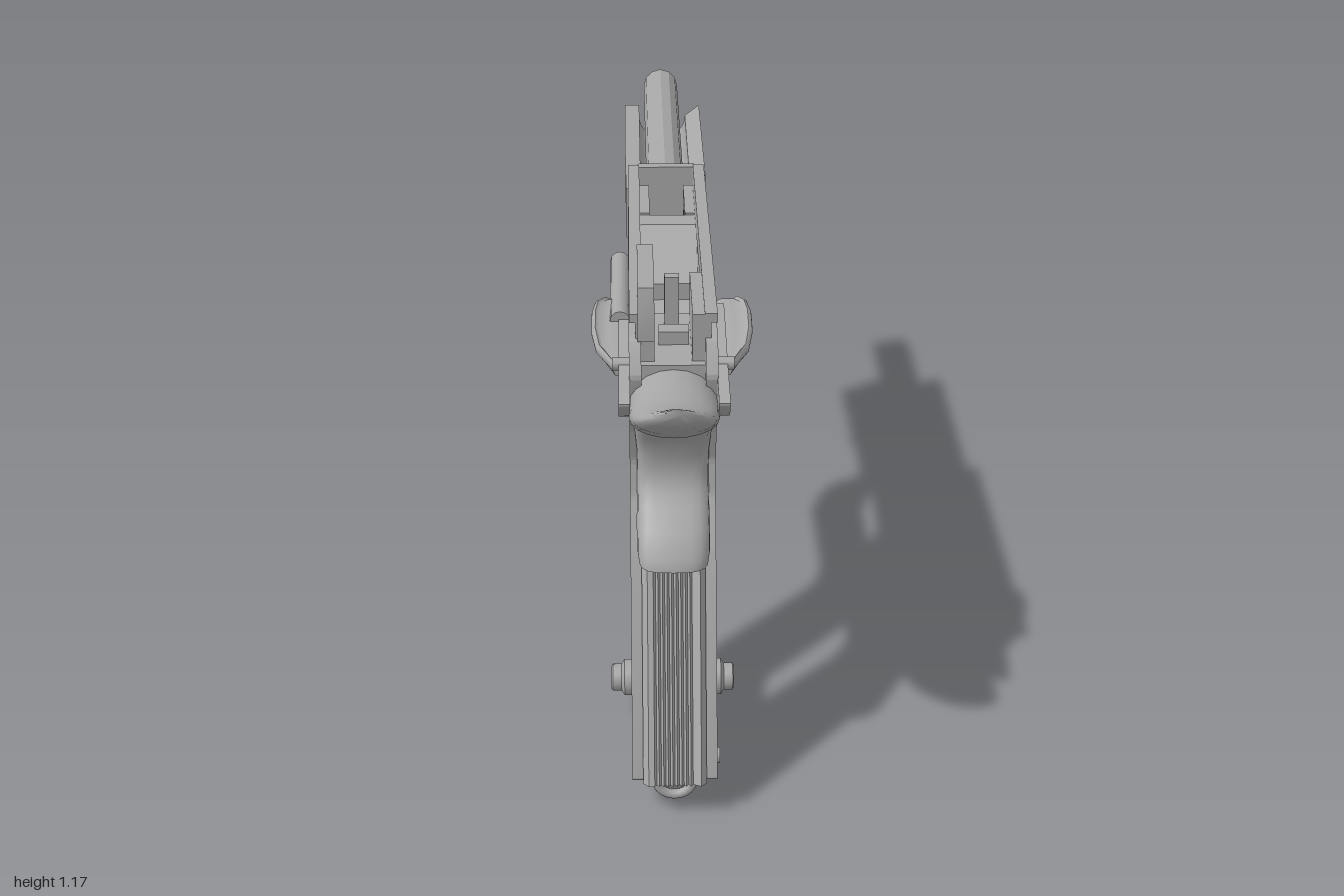
import * as THREE from 'three';
import { toCreasedNormals } from 'three/addons/utils/BufferGeometryUtils.js';

const metal = new THREE.MeshStandardMaterial({ color: 0xa6a6a6, side: THREE.DoubleSide });
metal.name = 'grey metal';

// closed path with rounded corners, r = corner radius
function rounded(pts, r, Kind = THREE.Shape) {
  const path = new Kind();
  const v = pts.map(p => new THREE.Vector2(p[0], p[1]));
  v.forEach((p, i) => {
    const a = v[(i + v.length - 1) % v.length], b = v[(i + 1) % v.length];
    const s = p.clone().add(a.clone().sub(p).setLength(Math.min(r, a.distanceTo(p) * 0.48)));
    const e = p.clone().add(b.clone().sub(p).setLength(Math.min(r, b.distanceTo(p) * 0.48)));
    if (i === 0) path.moveTo(s.x, s.y); else path.lineTo(s.x, s.y);
    if (r > 0) path.quadraticCurveTo(p.x, p.y, e.x, e.y);
  });
  path.closePath();
  return path;
}

function circle(z, y, r) {
  const p = new THREE.Path();
  p.absarc(z, y, r, 0, Math.PI * 2, true);
  return p;
}

// signed power, squares off an ellipse
const squared = (v, k) => Math.sign(v) * Math.abs(v) ** k;

export function createModel() {
  const model = new THREE.Group();
  model.name = 'pistolFrame';

  const add = (name, geo) => {
    const m = new THREE.Mesh(geo, metal);
    m.name = name;
    model.add(m);
    return m;
  };
  const box = (name, x0, x1, y0, y1, z0, z1) => add(name,
    new THREE.BoxGeometry(x1 - x0, y1 - y0, z1 - z0).translate((x0 + x1) / 2, (y0 + y1) / 2, (z0 + z1) / 2));
  // side profile in (z, y), extruded from x0 to x1
  const side = (name, pts, x0, x1, r = 0, holes = []) => {
    const shape = rounded(pts, r);
    shape.holes.push(...holes);
    const g = new THREE.ExtrudeGeometry(shape, { depth: x1 - x0, bevelEnabled: false, curveSegments: 6 });
    return add(name, toCreasedNormals(g.rotateY(-Math.PI / 2).translate(x1, 0, 0), 0.5));
  };
  // section in (x, -z), extruded along a slanted line from (z0, y0) to (z1, y1), ends tilted like the grip base
  const slanted = (name, shape, z0, y0, z1, y1) => {
    const g = new THREE.ExtrudeGeometry(shape, { depth: 1, bevelEnabled: false, curveSegments: 10 });
    g.applyMatrix4(new THREE.Matrix4().set(1, 0, 0, 0, 0, -0.13, y1 - y0, y0, 0, -1, z1 - z0, z0, 0, 0, 0, 1));
    return add(name, toCreasedNormals(g, 0.5));
  };
  // rings joined into a closed skin, point(ring, angle) gives each corner
  const loft = (name, rings, point, n = 20) => {
    const pos = [], idx = [];
    for (const ring of rings) for (let j = 0; j < n; j++) pos.push(...point(ring, j / n * Math.PI * 2));
    for (let i = 0; i < rings.length - 1; i++) for (let j = 0; j < n; j++) {
      const a = i * n + j, b = i * n + (j + 1) % n;
      idx.push(a, b, b + n, a, b + n, a + n);
    }
    const last = (rings.length - 1) * n;
    for (let j = 1; j < n - 1; j++) idx.push(0, j + 1, j, last, last + j, last + j + 1);
    const g = new THREE.BufferGeometry();
    g.setAttribute('position', new THREE.Float32BufferAttribute(pos, 3));
    g.setIndex(idx);
    return add(name, toCreasedNormals(g, 0.9));
  };

  // side walls with grip window, pin hole and catch recess
  const wall = [[0.74, 1.057], [0.79, 0.985], [0.77, 0.91], [0.725, 0.83], [0.70, 0.74], [0.715, 0.66], [0.775, 0.55],
    [0.98, 0.085], [0.555, 0.02], [0.335, 0.64], [0.29, 0.665], [0.225, 0.69], [0.20, 0.75], [0.19, 0.88], [0.13, 0.93],
    [-0.10, 0.93], [-0.10, 1.057]];
  const gripWindow = [[0.635, 0.74], [0.40, 0.74], [0.38, 0.64], [0.53, 0.18], [0.70, 0.18], [0.775, 0.29]];
  const recess = [[0.335, 0.77], [0.28, 0.78], [0.218, 0.755], [0.23, 0.715], [0.275, 0.69], [0.315, 0.70]];
  for (const s of [-1, 1]) {
    // box or plate limits mirrored to this side
    const span = (a, b) => s > 0 ? [a, b] : [-b, -a];
    side('sideWall', wall, ...span(0.068, 0.094), 0.012, [rounded(gripWindow, 0.08, THREE.Path),
      circle(-0.04, 1, 0.028), rounded(recess, 0.02, THREE.Path)]);
    // slide rails: groove and flange
    box('railGroove', ...span(0.066, 0.08), 1.05, 1.092, -0.13, 0.74);
    box('railFlange', ...span(0.066, 0.093), 1.09, 1.11, -0.13, 0.74);
    box('rearRail', ...span(0.04, 0.07), 0.98, 1.108, 0.52, 0.74);
    // inner cheek around the cross pin
    side('pinCheek', [[0.06, 0.93], [-0.12, 0.93], [-0.12, 1.06], [0.06, 1.06]], ...span(0.042, 0.07), 0, [circle(-0.04, 1, 0.028)]);

    // thumb safety: flat plate and rounded outward pad
    side('safetyPlate', [[0.51, 1.035], [0.60, 1.02], [0.72, 0.99], [0.88, 0.97], [0.84, 0.92], [0.74, 0.88], [0.66, 0.89],
      [0.58, 0.83], [0.53, 0.845], [0.54, 0.87], [0.60, 0.94], [0.60, 0.98]], ...span(0.092, 0.116), 0.02);
    loft('safetyPad', [[0.495, 0.15, 1.023], [0.51, 0.168, 1.022], [0.55, 0.175, 1.016], [0.61, 0.175, 1.002], [0.66, 0.165, 0.985], [0.71, 0.13, 0.97]],
      ([z, xo, y], t) => [s * (xo + 0.1) / 2 + (xo - 0.1) / 2 * squared(Math.cos(t), 0.5),
        y + 0.014 * squared(Math.sin(t), 0.7) + (s * Math.cos(t) > 0.5 ? 0.004 : -0.004), z]);

    // grip screw bushings
    for (const [z, y] of [[0.447, 0.875], [0.715, 0.18]]) {
      const prof = [[0, 0.075], [0.042, 0.075], [0.042, 0.11], [0.031, 0.117], [0.031, 0.137], [0.027, 0.14],
        [0.019, 0.14], [0.019, 0.115], [0, 0.115]].map(p => new THREE.Vector2(...p));
      const g = toCreasedNormals(new THREE.LatheGeometry(prof, 16), 0.5);
      add('gripBushing', g.rotateZ(-s * Math.PI / 2).translate(0, y, z));
    }
    box('coverRootWall', ...span(0.066, 0.098), 0.93, 1.06, -0.2, -0.1);
  }

  // trigger guard, with the narrow frame underside behind it
  const opening = [[0.15, 0.90], [0.175, 0.82], [0.165, 0.665], [-0.09, 0.665], [-0.175, 0.73], [-0.175, 0.85], [-0.12, 0.905]];
  side('triggerGuard', [[0.345, 0.62], [0.26, 0.645], [-0.10, 0.645], [-0.19, 0.72], [-0.19, 0.868], [-0.32, 0.87],
    [-0.32, 0.95], [0.17, 0.95], [0.30, 0.90], [0.36, 0.68]], -0.062, 0.062, 0.045, [rounded(opening, 0.06, THREE.Path)]);
  side('underside', [[0.20, 0.90], [-0.17, 0.905], [-0.17, 0.95], [0.20, 0.95]], -0.078, 0.078);
  side('trigger', [[0.19, 0.88], [0.14, 0.865], [0.148, 0.81], [0.132, 0.755], [0.165, 0.755], [0.19, 0.81]], -0.03, 0.03, 0.015);
  // feed ramp and bridge ahead of the magazine well
  side('feedRamp', [[0.06, 0.93], [0.06, 1.055], [0.12, 1.055], [0.25, 0.96], [0.25, 0.90]], -0.07, 0.07);

  // rounded front strap of the grip
  const strap = new THREE.Shape();
  strap.moveTo(0.094, -0.045);
  strap.lineTo(0.094, -0.01);
  strap.bezierCurveTo(0.094, 0.035, 0.05, 0.07, 0, 0.07);
  strap.bezierCurveTo(-0.05, 0.07, -0.094, 0.035, -0.094, -0.01);
  strap.lineTo(-0.094, -0.045);
  strap.lineTo(-0.07, -0.045);
  strap.lineTo(-0.07, -0.01);
  strap.quadraticCurveTo(-0.06, 0.045, 0, 0.045);
  strap.quadraticCurveTo(0.06, 0.045, 0.07, -0.01);
  strap.lineTo(0.07, -0.045);
  strap.closePath();
  slanted('frontStrap', strap, 0.565, 0.0092, 0.325, 0.65);
  // strap fades into the guard
  loft('strapShoulder', [[0.635, 0.257, 0.38, 0.09], [0.665, 0.235, 0.37, 0.086], [0.69, 0.215, 0.36, 0.072], [0.75, 0.205, 0.35, 0.066], [0.88, 0.185, 0.32, 0.066]],
    ([y, zf, zb, rx], t) => [rx * squared(Math.cos(t), 0.6), y, (zf + zb) / 2 - (zb - zf) / 2 * Math.sin(t)]);

  // ribbed mainspring housing
  const ribs = [[-0.07, 0.1], [-0.07, 0.015], [-0.058, 0]];
  for (let i = 0; i < 9; i++) {
    const x = -0.045 + i * 0.01;
    ribs.push([x, 0], [x + 0.005, 0.009]);
  }
  ribs.push([0.058, 0], [0.07, 0.015], [0.07, 0.1]);
  slanted('mainspringHousing', rounded(ribs, 0), 1.0, 0.085, 0.797, 0.55);
  add('housingPin', new THREE.CylinderGeometry(0.018, 0.018, 0.06, 12).rotateZ(Math.PI / 2).translate(0.072, 0.095, 0.9));
  add('lanyardLoop', new THREE.TorusGeometry(0.042, 0.011, 8, 20).translate(0, 0.07, 0.95));
  // leaf spring strips inside the grip
  for (const x of [-0.04, 0, 0.04]) {
    slanted('leafSpring', rounded([[x - 0.013, 0], [x + 0.013, 0], [x + 0.013, 0.008], [x - 0.013, 0.008]], 0), 0.725, 0.48, 0.65, 0.75);
  }

  // grip safety and upswept tang
  loft('gripSafety', [[0.55, 0.74, 0.862, 0.076], [0.575, 0.73, 0.855, 0.08], [0.62, 0.70, 0.812, 0.08], [0.66, 0.68, 0.772, 0.079],
    [0.685, 0.67, 0.748, 0.079], [0.72, 0.66, 0.732, 0.079], [0.77, 0.655, 0.735, 0.08], [0.82, 0.66, 0.757, 0.084], [0.87, 0.66, 0.81, 0.088], [0.93, 0.66, 0.84, 0.088]],
  ([y, zf, zb, rx], t) => [rx * squared(Math.cos(t), 0.6), y, (zf + zb) / 2 - (zb - zf) / 2 * squared(Math.sin(t), 0.7)]);
  loft('tang', [[0.68, 0.82, 0.99, 0.088], [0.76, 0.835, 0.99, 0.095], [0.82, 0.86, 0.983, 0.096], [0.87, 0.885, 0.978, 0.094],
    [0.92, 0.92, 0.985, 0.085], [0.96, 0.95, 1.0, 0.068], [0.985, 0.972, 1.013, 0.045], [1.0, 0.995, 1.022, 0.015]],
  ([z, yb, yt, rx], t) => [rx * Math.cos(t), (yb + yt) / 2 + (yt - yb) / 2 * Math.sin(t), z]);

  // rear action block with small lockwork
  box('rearBlock', -0.07, 0.07, 0.88, 1.0, 0.5, 0.76);
  box('sear', -0.03, 0.035, 0.98, 1.03, 0.62, 0.66);
  box('disconnector', -0.016, 0.016, 0.98, 1.12, 0.55, 0.575);
  add('hammerPin', new THREE.CylinderGeometry(0.014, 0.014, 0.26, 10).rotateZ(Math.PI / 2).translate(0, 0.985, 0.72));
  side('ejector', [[0.75, 1.05], [0.75, 1.11], [0.735, 1.168], [0.505, 1.168], [0.525, 1.125], [0.58, 1.11], [0.60, 1.05]], -0.075, -0.04);
  add('plungerTube', new THREE.CylinderGeometry(0.022, 0.022, 0.33, 12).rotateX(Math.PI / 2).translate(-0.113, 1.02, 0.415));

  // dust cover: open channel with grooved accessory rail
  const cover = new THREE.Shape();
  const half = [[0.1, 1.06], [0.1, 0.985], [0.077, 0.957], [0.095, 0.925], [0.092, 0.9]];
  cover.moveTo(0.062, 1.06);
  cover.absarc(0, 1.03, 0.062, 0, -Math.PI, true);
  cover.lineTo(-0.062, 1.06);
  half.forEach(([x, y]) => cover.lineTo(-x, y));
  half.slice().reverse().forEach(([x, y]) => cover.lineTo(x, y));
  cover.closePath();
  const coverGeo = new THREE.ExtrudeGeometry(cover, { depth: 0.52, bevelEnabled: false, curveSegments: 14 });
  add('dustCover', toCreasedNormals(coverGeo.translate(0, 0, -0.715), 0.5));
  side('coverRoot', [[-0.09, 0.92], [-0.19, 0.90], [-0.235, 0.968], [-0.09, 0.968]], -0.092, 0.092);
  // rail teeth
  for (let i = 0; i < 4; i++) {
    const z = -0.397 - i * 0.0975;
    side('railTooth', [[z + 0.025, 0.905], [z + 0.025, 0.87], [z - 0.02, 0.87], [z - 0.025, 0.88], [z - 0.025, 0.905]], -0.08, 0.08);
  }

  // guide rod with chamfered tip and square flange
  const rod = [[0, 0.14], [0.047, 0.14], [0.047, 0.992], [0.04, 1.0], [0, 1.0]].map(p => new THREE.Vector2(...p));
  add('guideRod', toCreasedNormals(new THREE.LatheGeometry(rod, 12), 0.4).rotateX(-Math.PI / 2).translate(0, 1.022, 0));
  box('rodFlange', -0.07, 0.07, 0.96, 1.1, -0.165, -0.14);

  return model;
}
